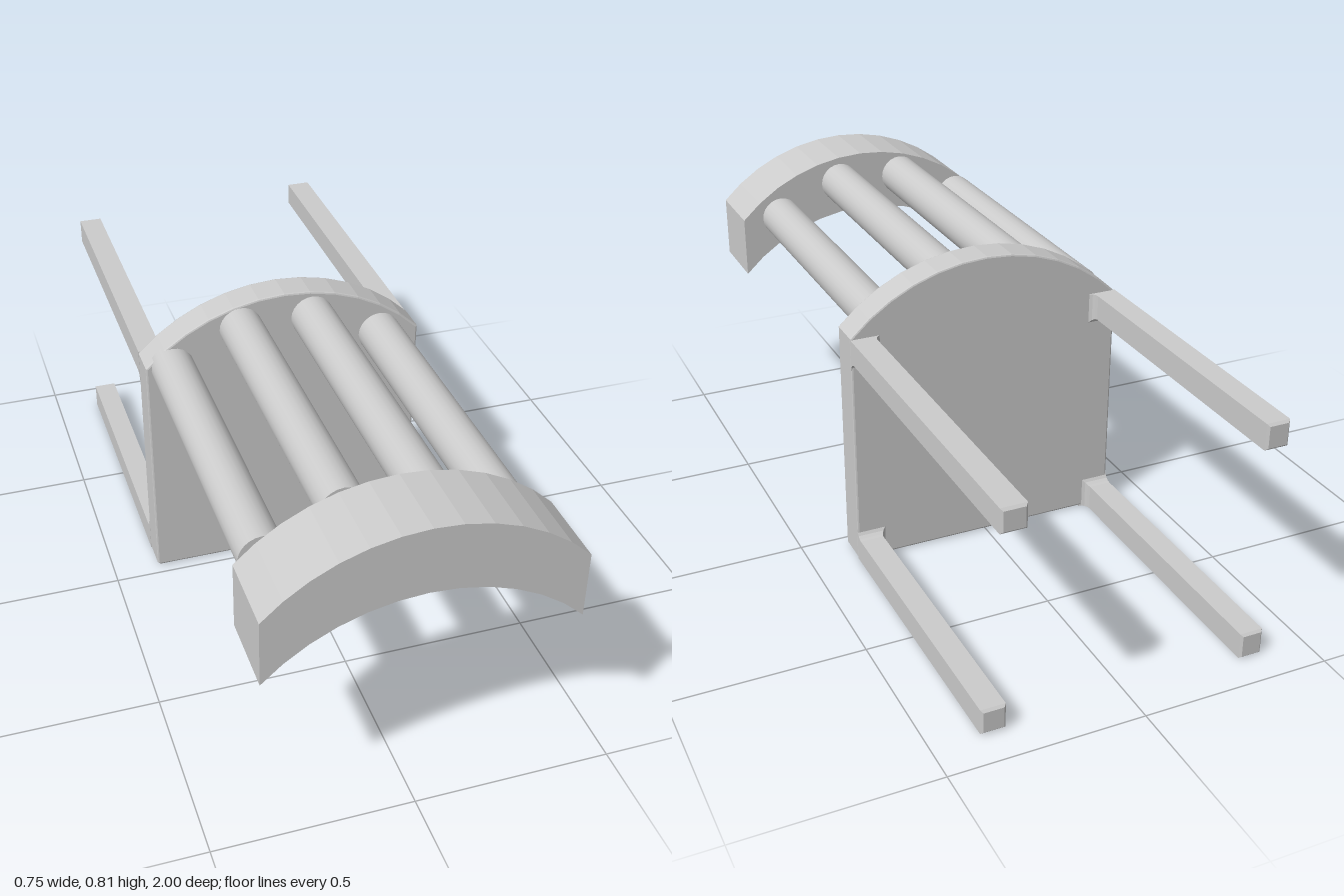
import * as THREE from 'three';

const material = new THREE.MeshStandardMaterial({ color: 0xcccccc });
const HALF = 0.377;                                // half width of seat and back
const RADIUS = 0.524;                              // radius of both arches
const SPREAD = Math.asin(HALF / RADIUS);           // half angle of the arches
const SEAT_BACK = -0.12, SEAT_FRONT = -0.03;

function add(group, name, geometry) {
  const mesh = new THREE.Mesh(geometry, material);
  mesh.name = name;
  group.add(mesh);
  return mesh;
}

// Arc points from right (+x) to left (-x) with the given crown height
function arch(crown, steps = 12) {
  return Array.from({ length: steps + 1 }, (_, i) => {
    const a = SPREAD * (1 - 2 * i / steps);
    return new THREE.Vector2(RADIUS * Math.sin(a), crown - RADIUS + RADIUS * Math.cos(a));
  });
}

// Square leg running back from the seat; its inner faces flare into a small fillet
function legGeometry({ x0, x1, y0, y1, end, side, upper }) {
  const fillet = 0.024, bevel = 0.006, steps = 4;
  const rows = [];                                 // [z, flare, inset]
  for (let i = 0; i <= steps; i++) {
    const a = (i / steps) * Math.PI / 2;
    rows.push([SEAT_BACK + 0.002 - fillet * (1 - Math.cos(a)), fillet * (1 - Math.sin(a)), 0]);
  }
  rows.push([end + bevel, 0, 0], [end, 0, bevel]);
  const g = new THREE.BoxGeometry(1, 1, 1, 1, 1, rows.length - 1);
  const p = g.attributes.position;
  for (let i = 0; i < p.count; i++) {
    const [z, flare, inset] = rows[Math.round((0.5 - p.getZ(i)) * (rows.length - 1))];
    const sx = Math.sign(p.getX(i)), sy = Math.sign(p.getY(i));
    let x = (sx > 0 ? x1 : x0) - sx * inset;
    let y = (sy > 0 ? y1 : y0) - sy * inset;
    if (sx !== side) x += sx * flare;
    if (sy === (upper ? -1 : 1)) y += sy * flare;
    p.setXYZ(i, x, y, z);
  }
  const flat = g.toNonIndexed();
  flat.computeVertexNormals();
  return flat;
}

export function createModel() {
  const group = new THREE.Group();
  group.name = 'chair';

  // Seat: upright plate with an arched top and softened edges
  const b = 0.005;
  const outline = new THREE.Shape([
    new THREE.Vector2(-HALF + 0.006, 0.003), new THREE.Vector2(HALF - 0.006, 0.003),
    new THREE.Vector2(HALF, 0.009), ...arch(0.815), new THREE.Vector2(-HALF, 0.009),
  ]);
  const seat = add(group, 'seat', new THREE.ExtrudeGeometry(outline, {
    depth: SEAT_FRONT - SEAT_BACK - 2 * b,
    bevelEnabled: true, bevelThickness: b, bevelSize: b, bevelOffset: -b, bevelSegments: 2,
  }));
  seat.position.z = SEAT_BACK + b;

  // Legs: slightly uneven lengths
  const legs = [
    ['upperLeftLeg', 1, true, 0.59, 0.652, -1.0],
    ['upperRightLeg', -1, true, 0.59, 0.658, -0.93],
    ['lowerLeftLeg', 1, false, 0.003, 0.07, -0.91],
    ['lowerRightLeg', -1, false, 0, 0.07, -0.91],
  ];
  for (const [name, side, upper, y0, y1, end] of legs) {
    const x0 = side > 0 ? 0.313 : -HALF, x1 = side > 0 ? HALF : -0.315;
    add(group, name, legGeometry({ x0, x1, y0, y1, end, side, upper }));
  }

  // Spindles between the seat and the top rail, following the arch
  const spindles = [[-0.305, 0.648], [-0.12, 0.737], [0.075, 0.739], [0.265, 0.657]];
  const length = 0.785 - (SEAT_FRONT - 0.02);
  spindles.forEach(([x, y], i) => {
    const geometry = new THREE.CylinderGeometry(0.057, 0.057, length, 24).rotateX(Math.PI / 2);
    add(group, `spindle${i + 1}`, geometry).position.set(x, y, 0.785 - length / 2);
  });

  // Top rail: arched band
  const band = new THREE.Shape([...arch(0.815), ...arch(0.643).reverse()]);
  const rail = add(group, 'topRail', new THREE.ExtrudeGeometry(band, { depth: 0.2, bevelEnabled: false }));
  rail.position.z = 0.8;

  return group;
}
